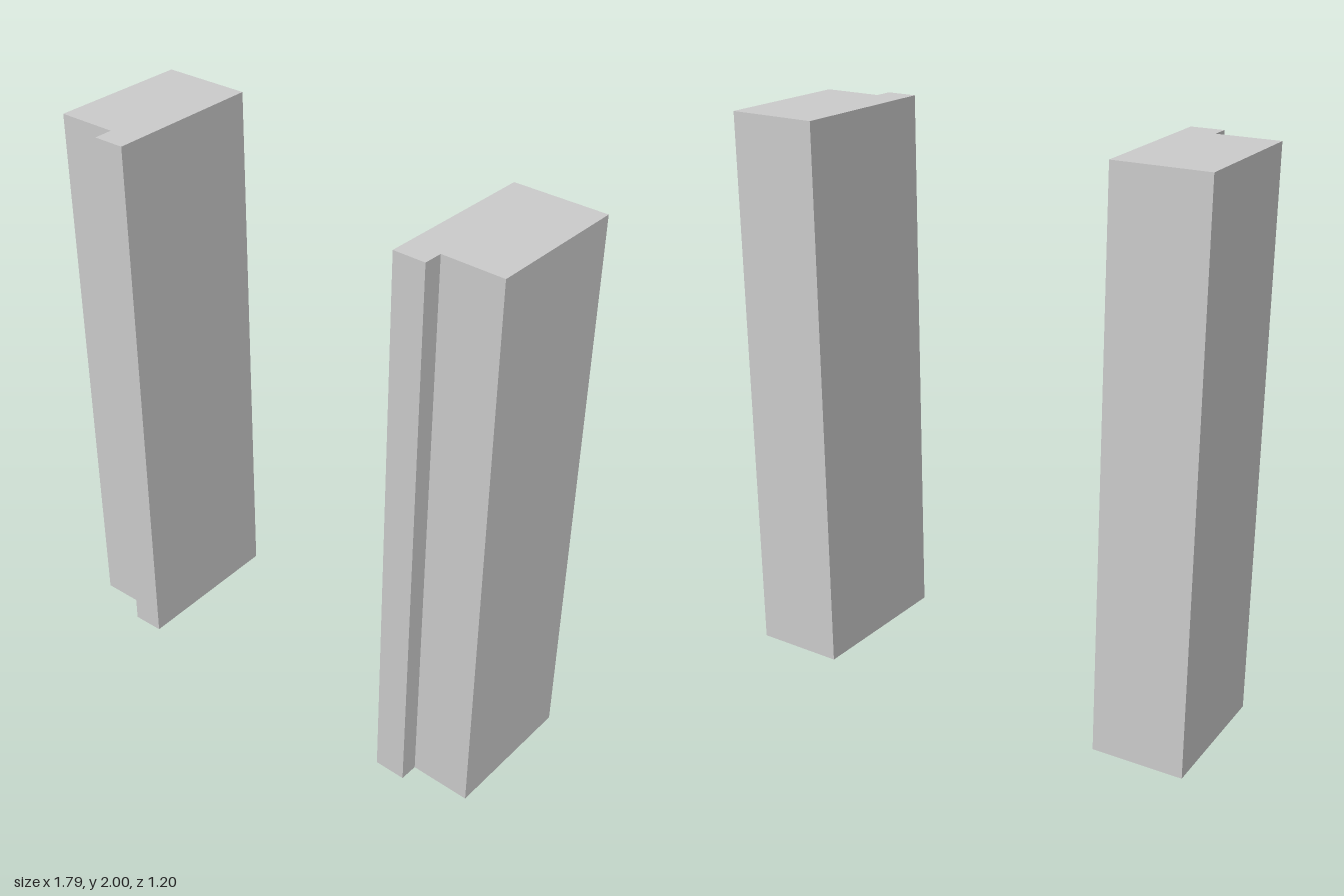
import * as THREE from 'three';

const HEIGHT = 2;

// Plan outlines as [x, z]: a rotated rectangle with a stop lip on one front corner
const jambs = {
  rightJamb: [[-0.69, -0.6], [-0.391, -0.467], [-0.623, 0.058], [-0.728, 0.012], [-0.7, -0.05], [-0.9, -0.139]],
  leftJamb: [[0.6, -0.003], [0.895, 0.142], [0.672, 0.598], [0.477, 0.502], [0.447, 0.562], [0.345, 0.513]],
};

export function createModel() {
  const group = new THREE.Group();
  group.name = 'doorJambs';
  const material = new THREE.MeshStandardMaterial({ color: 0xcccccc, flatShading: true });

  // Raise each outline into a full-height post
  for (const [name, plan] of Object.entries(jambs)) {
    const shape = new THREE.Shape(plan.map(([x, z]) => new THREE.Vector2(x, -z)));
    const geometry = new THREE.ExtrudeGeometry(shape, { depth: HEIGHT, bevelEnabled: false });
    geometry.rotateX(-Math.PI / 2);
    const post = new THREE.Mesh(geometry, material);
    post.name = name;
    group.add(post);
  }
  return group;
}
